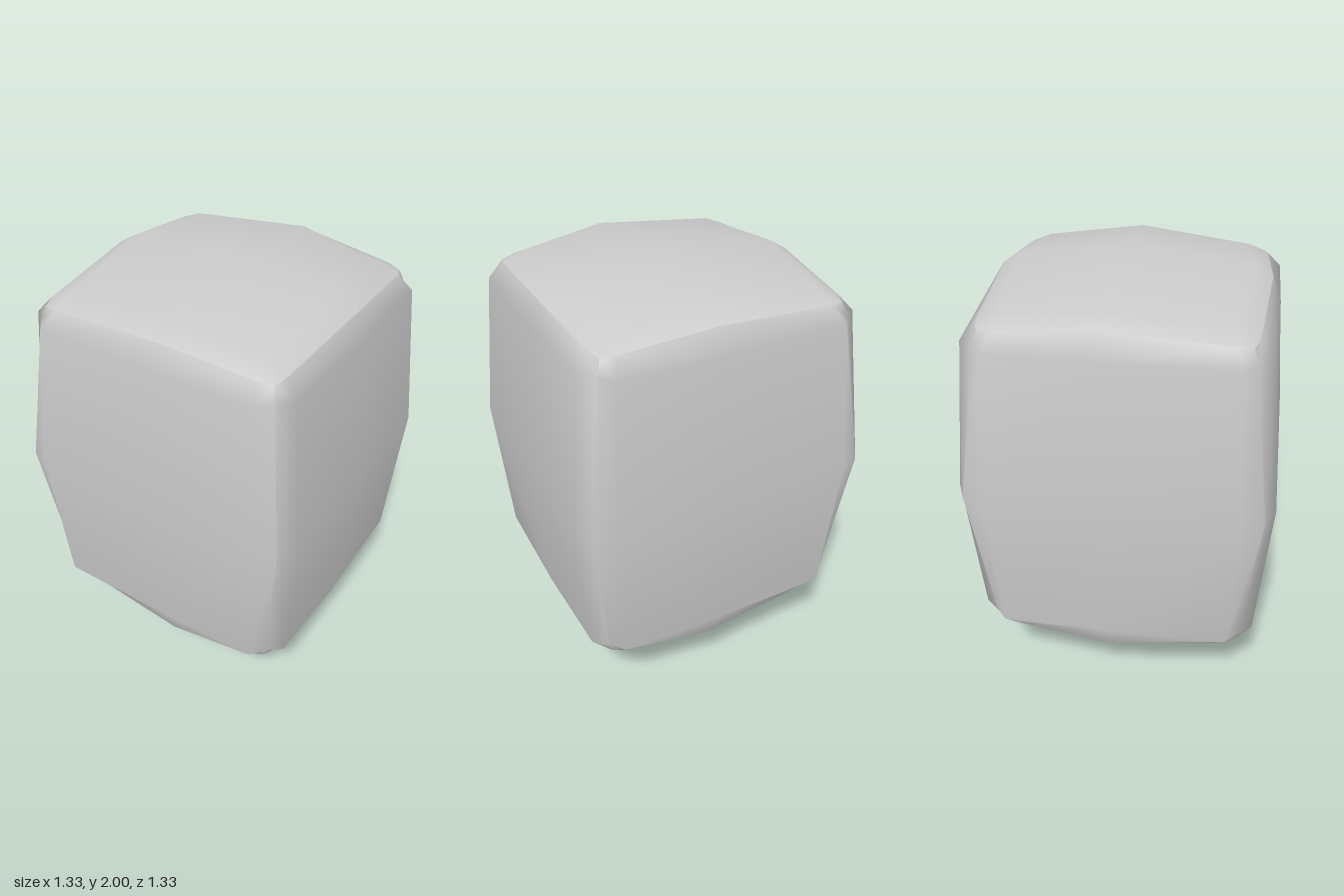
import * as THREE from 'three';

const material = new THREE.MeshStandardMaterial({ color: 0xcccccc });

// Half widths of the body, indexed [own class][other horizontal class][vertical class],
// where class 0 = face middle, 1 = next to an edge, 2 = on the edge.
const HALF = [
  [[0, 0, 0], [0, 0, 0], [0, 0, 0]],
  [[0.53, 0.5, 0.5], [0.53, 0.5, 0.46], [0.53, 0.5, 0.47]],
  [[0.667, 0.62, 0.58], [0.667, 0.61, 0.55], [0.625, 0.55, 0.53]],
];
// Height of top and bottom above the middle, falling towards the corners
const CROWN = [0.885, 0.825, 0.775, 0.735, 0.725];
const MIDDLE = [0.07, 1.115, -0.03];

// Position of the lattice point (i, j, k), each from -2 to 2
function bodyPoint([i, j, k]) {
  const [a, b, c] = [i, j, k].map(Math.abs);
  const rise = [0, 0.665, CROWN[a + c]][b];
  return [
    i === 0 ? MIDDLE[0] : Math.sign(i) * HALF[a][c][b],
    MIDDLE[1] + Math.sign(j) * rise,
    k === 0 ? MIDDLE[2] : Math.sign(k) * HALF[c][a][b],
  ];
}

// Smooth surface through a grid of points
function gridGeometry(rows, flip = false) {
  const n = rows[0].length;
  const index = [];
  for (let r = 0; r < rows.length - 1; r++) {
    for (let q = 0; q < n - 1; q++) {
      const a = r * n + q, b = a + 1, c = a + n + 1, d = a + n;
      index.push(...(flip ? [a, c, b, a, d, c] : [a, b, c, a, c, d]));
    }
  }
  const geometry = new THREE.BufferGeometry();
  geometry.setAttribute('position', new THREE.Float32BufferAttribute(rows.flat(2), 3));
  geometry.setIndex(index);
  geometry.computeVertexNormals();
  return geometry;
}

// One bulging side of the body, hard-edged against its neighbours
function bodyFace(axis, sign) {
  const steps = [-2, -1, 0, 1, 2];
  const rows = steps.map((v) => steps.map((u) => {
    const p = [0, 0, 0];
    p[axis] = 2 * sign;
    p[(axis + 1) % 3] = u;
    p[(axis + 2) % 3] = v;
    return bodyPoint(p);
  }));
  return gridGeometry(rows, sign < 0);
}

// Square ring with chamfered corners
function stemRing([y, w, c]) {
  const ring = [[w, -c], [w, c], [c, w], [-c, w], [-w, c], [-w, -c], [-c, -w], [c, -w]];
  return ring.map(([x, z]) => [x, y, z]);
}

function createModel() {
  const model = new THREE.Group();
  const add = (parent, name, geometry) => {
    const mesh = new THREE.Mesh(geometry, material);
    mesh.name = name;
    parent.add(mesh);
  };

  // Body
  const body = new THREE.Group();
  body.name = 'body';
  const names = [['leftSide', 'rightSide'], ['top', 'bottom'], ['front', 'back']];
  names.forEach(([plus, minus], axis) => {
    add(body, plus, bodyFace(axis, 1));
    add(body, minus, bodyFace(axis, -1));
  });
  model.add(body);

  // Stem: tapered foot that runs up into the body
  const stem = new THREE.Group();
  stem.name = 'stem';
  const rings = [[0, 0.185, 0.175], [0.05, 0.218, 0.18], [0.18, 0.243, 0.195], [0.42, 0.243, 0.195]].map(stemRing);
  const walls = gridGeometry(rings.map((ring) => [...ring, ring[0]]), true);
  // match the normals where the loop closes
  const normal = walls.attributes.normal;
  for (let r = 0; r < rings.length; r++) {
    const a = r * 9, b = a + 8;
    const n = new THREE.Vector3().fromBufferAttribute(normal, a)
      .add(new THREE.Vector3().fromBufferAttribute(normal, b)).normalize();
    [a, b].forEach((i) => normal.setXYZ(i, n.x, n.y, n.z));
  }
  add(stem, 'stemWalls', walls);

  // Flat sole under the stem
  const sole = new THREE.ShapeGeometry(new THREE.Shape(rings[0].map(([x, , z]) => new THREE.Vector2(x, z))));
  sole.rotateX(Math.PI / 2);
  add(stem, 'stemSole', sole);
  model.add(stem);

  return model;
}

export { createModel };
